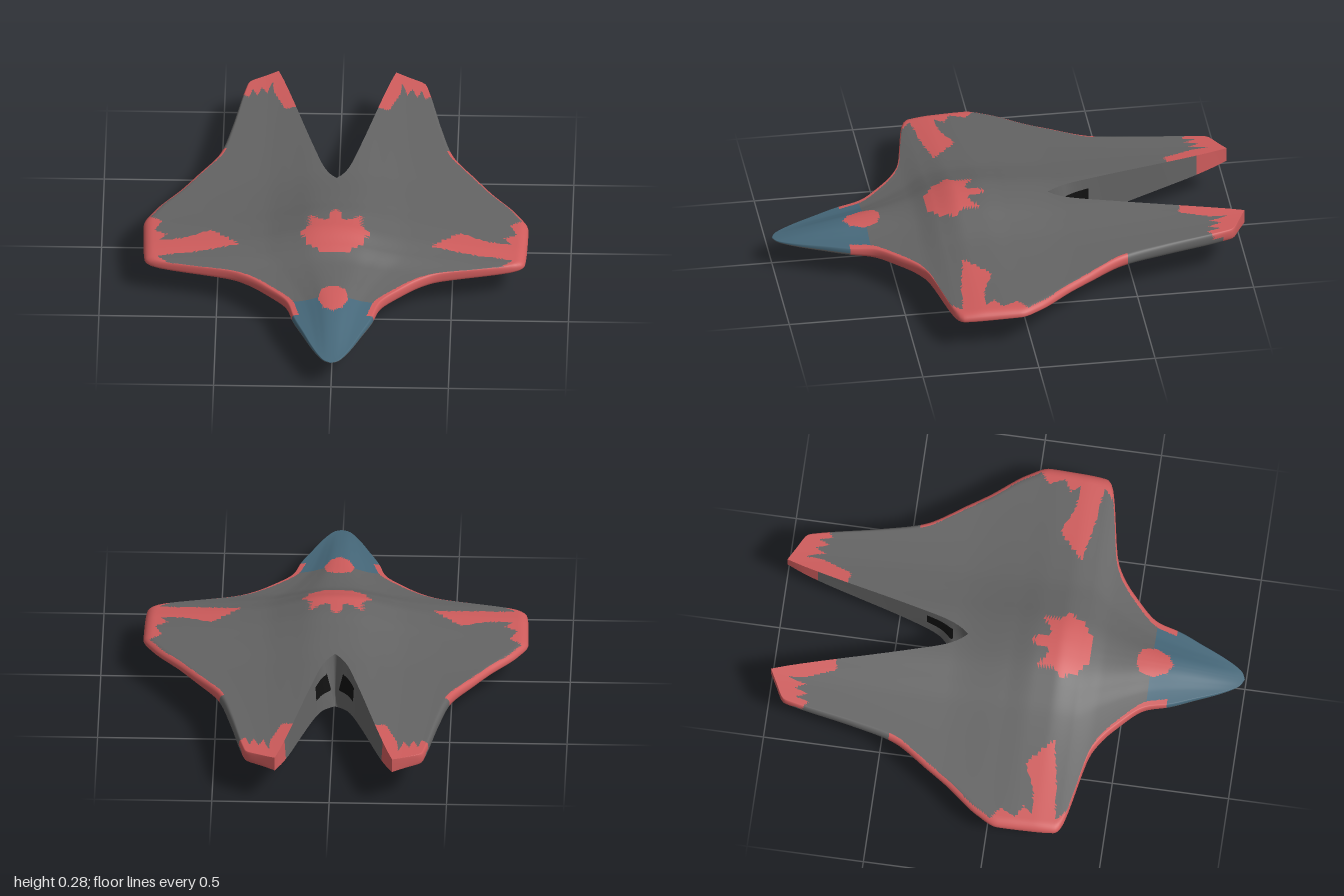
import * as THREE from 'three';

// Smooth monotone curve through [key, value] pairs with ascending keys
function curve(pts) {
  const n = pts.length, d = [], m = [];
  for (let i = 0; i < n - 1; i++) d.push((pts[i + 1][1] - pts[i][1]) / (pts[i + 1][0] - pts[i][0]));
  for (let i = 0; i < n; i++) {
    if (i === 0) m.push(d[0]);
    else if (i === n - 1) m.push(d[n - 2]);
    else m.push(d[i - 1] * d[i] <= 0 ? 0 : (2 * d[i - 1] * d[i]) / (d[i - 1] + d[i]));
  }
  return (k) => {
    if (k <= pts[0][0]) return pts[0][1];
    if (k >= pts[n - 1][0]) return pts[n - 1][1];
    let i = 0;
    while (k > pts[i + 1][0]) i++;
    const h = pts[i + 1][0] - pts[i][0], t = (k - pts[i][0]) / h, s = 1 - t;
    return pts[i][1] * (1 + 2 * t) * s * s + m[i] * h * t * s * s
      + pts[i + 1][1] * t * t * (3 - 2 * t) - m[i + 1] * h * t * t * s;
  };
}

// Plan outline: outer half-width along z, from tail to nose
const OUTLINE = [[-1, 0.25], [-0.97, 0.31], [-0.93, 0.38], [-0.9, 0.39], [-0.62, 0.45], [-0.45, 0.495],
  [-0.27, 0.61], [-0.19, 0.665], [-0.04, 0.78], [0.05, 0.82], [0.2, 0.817], [0.29, 0.81], [0.315, 0.79],
  [0.4, 0.43], [0.5, 0.29], [0.6, 0.2], [0.7, 0.17], [0.8, 0.127], [0.9, 0.083], [0.96, 0.05], [0.985, 0.03], [1, 0]];
const outer = curve(OUTLINE);
// The tail notch reaches further forward on top than underneath
const notchTop = curve([[-1, 0.25], [-0.92, 0.225], [-0.4, 0.09], [-0.28, 0.055], [-0.22, 0.025], [-0.19, 0]]);
const notchBottom = curve([[-1, 0.25], [-0.92, 0.22], [-0.38, 0.075], [-0.32, 0.05], [-0.29, 0.025], [-0.27, 0]]);

// Heights along z: rim, crest of the back, keel
const rim = curve([[-1, 0.19], [-0.5, 0.172], [0, 0.15], [0.3, 0.14], [0.6, 0.128], [1, 0.125]]);
const crest = curve([[-1, 0.24], [-0.5, 0.24], [-0.25, 0.241], [0, 0.265], [0.12, 0.279], [0.2, 0.279],
  [0.3, 0.25], [0.4, 0.215], [0.6, 0.192], [0.7, 0.18], [1, 0.126]]);
const keel = curve([[-1, 0.105], [-0.8, 0.06], [-0.5, 0.035], [-0.2, 0.028], [0, 0.016], [0.1, 0.02],
  [0.24, 0], [0.4, 0.028], [0.6, 0.045], [0.8, 0.08], [1, 0.124]]);
// Fall-off of thickness from the centre line outwards
const spread = curve([[0, 0.82], [0.3, 0.82], [0.4, 0.65], [0.5, 0.48], [0.6, 0.35], [0.7, 0.28], [1, 0.15]]);
const fallTop = curve([[0, 1], [0.06, 0.985], [0.12, 0.94], [0.24, 0.74], [0.37, 0.54], [0.61, 0.38], [1, 0.22]]);
const fallBottom = curve([[0, 1], [0.05, 0.95], [0.12, 0.78], [0.24, 0.48], [0.37, 0.3], [0.61, 0.18], [1, 0.1]]);

// Painted areas in [|x|, z]
const RED_TOP = [
  [[-0.01, 0.09], [0.01, 0.09], [0.04, 0.17], [0.11, 0.12], [0.11, 0.2], [0.15, 0.22], [0.12, 0.29], [0.06, 0.335], [-0.01, 0.345]],
  [[-0.01, 0.53], [0.05, 0.55], [0.065, 0.61], [0.04, 0.67], [-0.01, 0.7]],
  [[0.41, 0.24], [0.53, 0.13], [0.64, 0.18], [0.75, 0.19], [0.72, 0.15], [0.77, 0.12], [0.74, 0.05], [0.85, -0.02],
    [0.85, 0.34], [0.7, 0.34], [0.76, 0.29], [0.6, 0.275]],
  [[0.2, -1.01], [0.28, -1.01], [0.27, -0.85], [0.22, -0.72], [0.15, -0.74]],
  [[0.24, -1.01], [0.42, -1.01], [0.42, -0.86], [0.375, -0.82], [0.36, -0.88], [0.34, -0.83], [0.32, -0.89],
    [0.3, -0.84], [0.28, -0.91]],
];
const RED_BOTTOM = [
  [[0.3, 0.52], [0.36, 0.36], [0.45, 0.3], [0.52, 0.22], [0.58, 0.23], [0.64, 0.12], [0.7, 0.13], [0.75, 0], [0.85, -0.03], [0.85, 0.4]],
  [[0.11, 0.09], [0.15, 0.06], [0.16, -0.06], [0.13, -0.12], [0.1, 0]],
  [[-0.01, 0.08], [0.02, 0.05], [0.025, -0.04], [-0.01, -0.1]],
  [[0.2, -1.01], [0.42, -1.01], [0.42, -0.88], [0.3, -0.91], [0.2, -0.86]],
];
function inside(poly, x, z) {
  let hit = false;
  poly.forEach(([ax, az], i) => {
    const [bx, bz] = poly[(i + 1) % poly.length];
    if ((az > z) !== (bz > z) && x < ax + ((z - az) * (bx - ax)) / (bz - az)) hit = !hit;
  });
  return hit;
}
function zoneOf(x, z, isTop) {
  const edge = outer(z) - x;
  const redRim = (z > -0.46 && z < 0.06 && edge < 0.022) || (z > 0.34 && z < 0.69 && edge < 0.03);
  if (redRim || (isTop ? RED_TOP : RED_BOTTOM).some((p) => inside(p, x, z))) return 'red';
  return isTop && z > 0.6 ? 'blue' : 'grey';
}

// Stations along z, nose first, following the outline points
const stations = [1];
for (let i = OUTLINE.length - 1; i > 0; i--) {
  const a = OUTLINE[i][0], b = OUTLINE[i - 1][0], n = Math.max(3, Math.ceil((a - b) / 0.0125));
  for (let k = 1; k <= n; k++) stations.push(k === n ? b : a + ((b - a) * k) / n);
}

const ACROSS = 48;
function surfacePoint(z, u, isTop) {
  const inner = (isTop ? notchTop : notchBottom)(z);
  const x = inner + (outer(z) - inner) * u;
  const k = Math.min(1, (1 - u) / 0.05);
  const round = Math.sqrt(Math.max(0, 1 - (1 - k) ** 2));
  const s = x / spread(z), e = rim(z);
  const y = isTop ? e + (crest(z) - e) * fallTop(s) * round : e + (keel(z) - e) * fallBottom(s) * round;
  return [x, y, z];
}

// Skins a grid of rows and sorts its triangles into painted zones
function skin(rows, side, classify) {
  const cols = rows[0].length, pos = [], zones = {}, all = [];
  rows.forEach((row) => row.forEach(([x, y, z]) => pos.push(side * x + 0.018 * Math.min(z, 0), y, z)));
  const add = (a, b, c, j) => {
    const p = [a, b, c].map((k) => rows[Math.floor(k / cols)][k % cols]);
    const mid = [0, 1, 2].map((q) => (p[0][q] + p[1][q] + p[2][q]) / 3);
    const tri = side > 0 ? [a, b, c] : [a, c, b];
    all.push(...tri);
    (zones[classify(mid, j)] ??= []).push(...tri);
  };
  for (let i = 0; i < rows.length - 1; i++) {
    for (let j = 0; j < cols - 1; j++) {
      const a = i * cols + j, c = a + cols;
      add(a, a + 1, c, j);
      add(a + 1, c + 1, c, j);
    }
  }
  const geo = new THREE.BufferGeometry();
  geo.setAttribute('position', new THREE.Float32BufferAttribute(pos, 3));
  geo.setIndex(all);
  geo.computeVertexNormals();
  // Keep shading continuous across the centre line and the blunt nose
  const nor = geo.attributes.normal;
  rows.flat().forEach(([x, , z], k) => {
    if (z > 0.9999) nor.setXYZ(k, 0, 0, 1);
    else if (x < 1e-6) {
      const l = Math.hypot(nor.getY(k), nor.getZ(k)) || 1;
      nor.setXYZ(k, 0, nor.getY(k) / l, nor.getZ(k) / l);
    }
  });
  return Object.entries(zones).map(([zone, index]) => {
    const part = new THREE.BufferGeometry();
    part.setAttribute('position', geo.attributes.position);
    part.setAttribute('normal', nor);
    part.setIndex(index);
    return [zone, part];
  });
}

export function createModel() {
  const model = new THREE.Group();
  model.name = 'flyingWingCraft';
  const paint = { grey: 0x646464, red: 0xcf5c5c, blue: 0x46687a, dark: 0x111111 };
  const mats = {};
  for (const key in paint) mats[key] = new THREE.MeshStandardMaterial({ color: paint[key], side: THREE.DoubleSide });
  const names = { grey: 'Hull', red: 'RedMarkings', blue: 'NoseCanopy', dark: 'Exhaust' };

  // Each hull row runs over the top to the rim and back underneath
  const hullRows = stations.map((z) => {
    const row = [];
    for (let j = 0; j <= 2 * ACROSS; j++) {
      const t = j <= ACROSS ? j / ACROSS : 2 - j / ACROSS;
      row.push(surfacePoint(z, 1 - (1 - t) ** 1.5, j <= ACROSS));
    }
    return row;
  });

  // Sloping wall inside the tail notch
  const wallRows = stations.filter((z) => z <= -0.19).map((z) => {
    const low = surfacePoint(z, 0, false), high = surfacePoint(z, 0, true);
    return Array.from({ length: 9 }, (_, j) => low.map((v, q) => v + ((high[q] - v) * j) / 8));
  });
  const wallZone = ([, , z], j) => (z < -0.86 ? 'red' : z > -0.38 && z < -0.26 && j > 2 && j < 6 ? 'dark' : 'grey');

  for (const side of [1, -1]) {
    const half = new THREE.Group();
    half.name = side > 0 ? 'leftHalf' : 'rightHalf';
    const place = (prefix, parts) => parts.forEach(([zone, geo]) => {
      const mesh = new THREE.Mesh(geo, mats[zone]);
      mesh.name = prefix + names[zone];
      half.add(mesh);
    });
    place('outer', skin(hullRows, side, ([x, , z], j) => zoneOf(x, z, j < ACROSS)));
    place('notch', skin(wallRows, side, wallZone));
    model.add(half);
  }
  return model;
}
